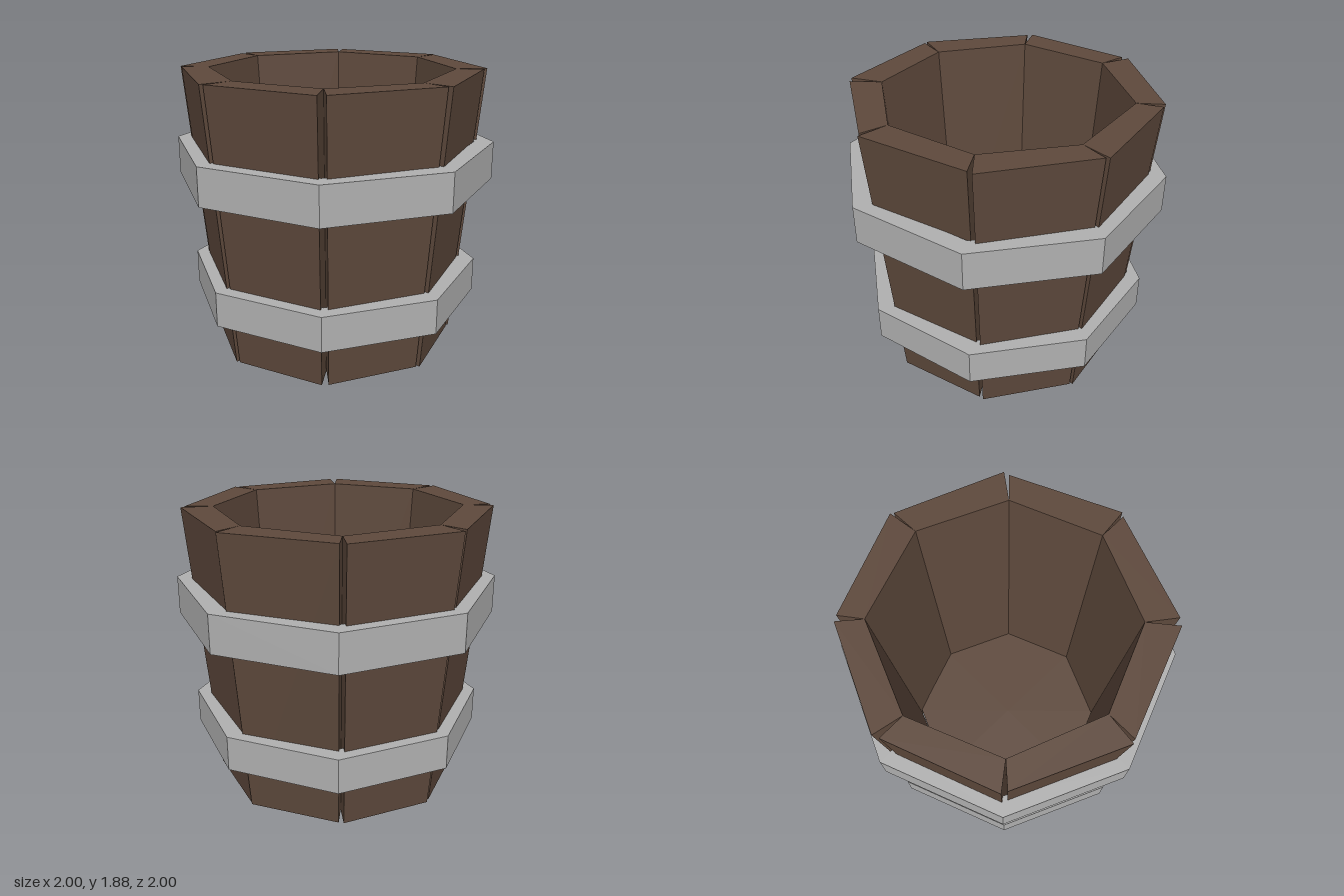
import * as THREE from 'three';

const wood = new THREE.MeshStandardMaterial({ color: 0x5e493c, flatShading: true });
wood.name = 'dark wood';
const metal = new THREE.MeshStandardMaterial({ color: 0xb0b0b0, flatShading: true });
metal.name = 'grey metal';

const HEIGHT = 1.875;
const TAPER = 0.83; // size of the bottom rim relative to the top rim

// Slightly uneven staves, as [x, z] corners of the top rim, going round from the front.
const outerEdges = [
  [[-0.37, 0.933], [0.37, 0.912]],
  [[0.398, 0.92], [0.91, 0.377]],
  [[0.943, 0.356], [0.922, -0.382]],
  [[0.928, -0.404], [0.398, -0.92]],
  [[0.366, -0.944], [-0.366, -0.96]],
  [[-0.398, -0.928], [-0.938, -0.42]],
  [[-0.938, -0.382], [-0.954, 0.36]],
  [[-0.933, 0.377], [-0.42, 0.92]],
];
const innerCorners = [
  [-0.318, 0.73], [0.297, 0.74], [0.74, 0.307], [0.751, -0.302],
  [0.313, -0.773], [-0.324, -0.762], [-0.767, -0.324], [-0.746, 0.302],
];

// A box whose four upright edges are moved to the stave's corners and tapered downward.
function stave(i) {
  const geo = new THREE.BoxGeometry(1, 1, 1);
  const p = geo.attributes.position;
  for (let v = 0; v < p.count; v++) {
    const end = p.getX(v) > 0 ? 1 : 0;
    const top = p.getY(v) > 0;
    const [x, z] = p.getZ(v) > 0 ? outerEdges[i][end] : innerCorners[(i + end) % 8];
    const s = top ? 1 : TAPER;
    p.setXYZ(v, x * s, top ? HEIGHT : 0, z * s);
  }
  geo.computeVertexNormals();
  const mesh = new THREE.Mesh(geo, wood);
  mesh.name = `stave${i + 1}`;
  return mesh;
}

// Eight-sided band with a rectangular section.
function hoop(name, radius, y0, y1) {
  const inner = radius - 0.13;
  const section = [[radius, y0], [radius, y1], [inner, y1], [inner, y0], [radius, y0]]
    .map(([r, y]) => new THREE.Vector2(r, y));
  const geo = new THREE.LatheGeometry(section, 8, THREE.MathUtils.degToRad(21.3));
  const mesh = new THREE.Mesh(geo, metal);
  mesh.name = name;
  return mesh;
}

export function createModel() {
  const bucket = new THREE.Group();
  bucket.name = 'bucket';

  const staves = new THREE.Group();
  staves.name = 'staves';
  for (let i = 0; i < 8; i++) staves.add(stave(i));
  bucket.add(staves);

  // Floor board, slightly recessed from the bottom rim
  const floor = new THREE.Mesh(new THREE.CylinderGeometry(0.69, 0.69, 0.05, 8, 1, false, Math.PI / 8), wood);
  floor.name = 'floor';
  floor.position.y = 0.055;
  bucket.add(floor);

  bucket.add(hoop('upperHoop', 1.073, 1.14, 1.395), hoop('lowerHoop', 0.987, 0.315, 0.55));
  return bucket;
}
